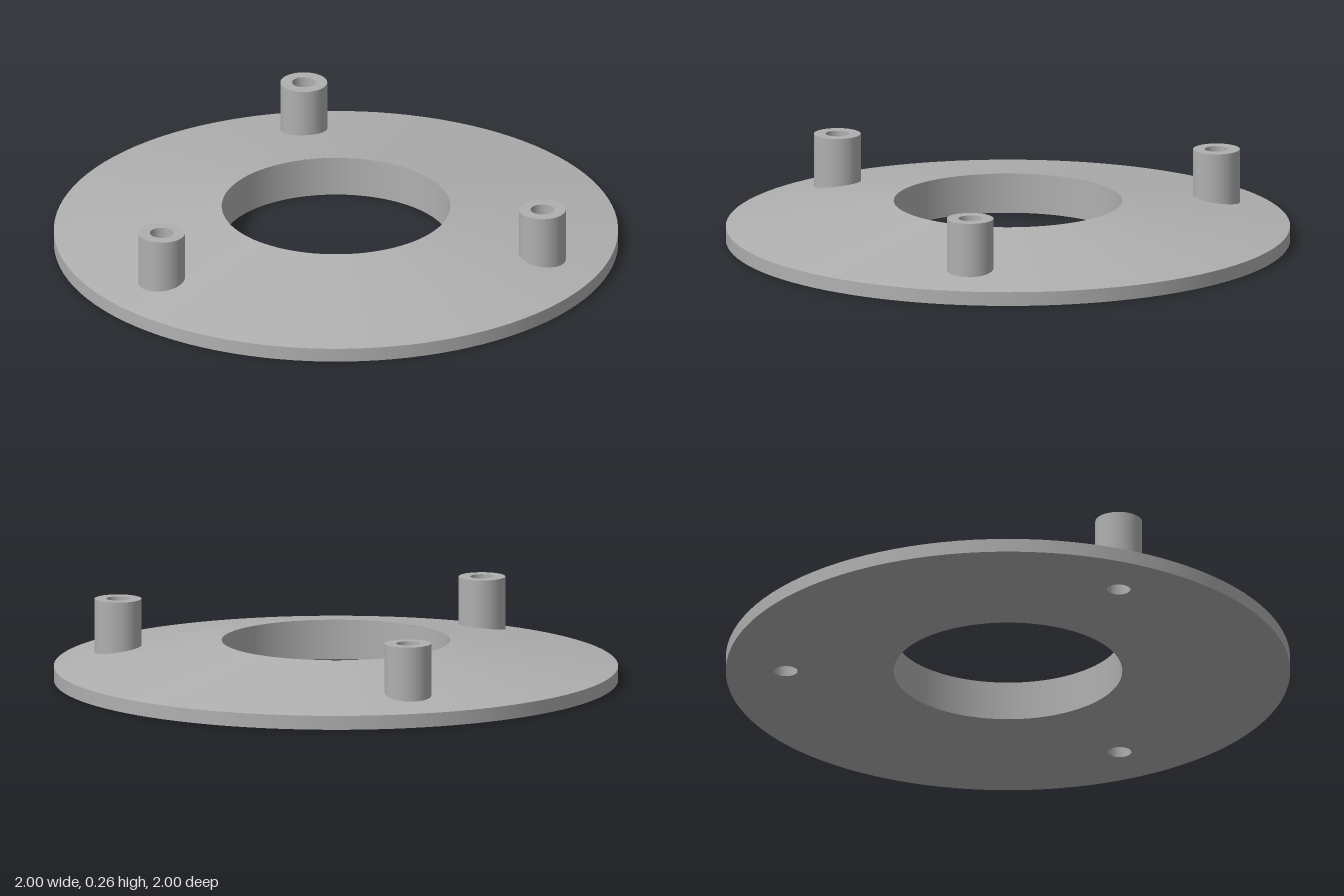
import * as THREE from 'three';
import { mergeGeometries } from 'three/addons/utils/BufferGeometryUtils.js';

const OUTER = 1, INNER = 0.405;            // plate radii
const RIM_Y = 0.05, TOP_Y = 0.143;         // plate heights at rim and bore
const POST_RING = 0.787, POST_R = 0.083, HOLE_R = 0.042, POST_TOP = 0.265;
const POST_ANGLES = [-Math.PI / 3, Math.PI / 3, Math.PI];
const HALF = Math.PI / 18;                 // half width of the wedge around each post

const coneY = (r) => RIM_Y + (TOP_Y - RIM_Y) * (OUTER - r) / (OUTER - INNER);

// Revolve each profile segment separately so the edges stay sharp
function revolve(profile, segments, start = 0, length = Math.PI * 2) {
  const parts = [];
  for (let i = 0; i < profile.length - 1; i++) {
    const pair = [profile[i], profile[i + 1]].map(([x, y]) => new THREE.Vector2(x, y));
    parts.push(new THREE.LatheGeometry(pair, segments, start, length));
  }
  return mergeGeometries(parts);
}

// Wedge of the cone with a round opening under a post
function piercedWedge() {
  const N = 48, STEPS = 5, opening = 0.06;
  const positions = [], index = [];
  for (let j = 0; j <= STEPS; j++) {
    for (let k = 0; k < N; k++) {
      const a = (k / N) * Math.PI * 2, c = Math.cos(a), s = Math.sin(a);
      const phi0 = Math.atan2(opening * c, POST_RING + opening * s);
      const r0 = Math.hypot(opening * c, POST_RING + opening * s);
      const m = Math.max(Math.abs(c), Math.abs(s)), u = c / m, v = s / m;
      const phi1 = u * HALF;
      const r1 = POST_RING + (v > 0 ? v * (OUTER - POST_RING) : v * (POST_RING - INNER));
      const phi = THREE.MathUtils.lerp(phi0, phi1, j / STEPS);
      const r = THREE.MathUtils.lerp(r0, r1, j / STEPS);
      positions.push(r * Math.sin(phi), coneY(r), r * Math.cos(phi));
      if (j < STEPS) {
        const p = j * N + k, q = j * N + (k + 1) % N;
        index.push(p, q + N, p + N, p, q, q + N);
      }
    }
  }
  const geometry = new THREE.BufferGeometry();
  geometry.setAttribute('position', new THREE.Float32BufferAttribute(positions, 3));
  geometry.setIndex(index);
  geometry.computeVertexNormals();
  return geometry;
}

// Flat underside with the central bore and the three post holes
function undersideGeometry() {
  const shape = new THREE.Shape().absarc(0, 0, OUTER, 0, Math.PI * 2, false);
  const addHole = (x, y, r) =>
    shape.holes.push(new THREE.Path().absarc(x, y, r, 0, Math.PI * 2, true));
  addHole(0, 0, INNER);
  POST_ANGLES.forEach((a) => addHole(POST_RING * Math.sin(a), POST_RING * Math.cos(a), HOLE_R));
  return new THREE.ShapeGeometry(shape, 108).rotateX(Math.PI / 2);
}

export function createModel() {
  const grey = new THREE.MeshStandardMaterial({ color: 0xb0b0b0 });
  grey.name = 'grey';
  const model = new THREE.Group();
  model.name = 'flangePlate';
  const add = (name, geometry) => {
    const mesh = new THREE.Mesh(geometry, grey);
    mesh.name = name;
    model.add(mesh);
    return mesh;
  };

  // Plate walls and underside
  add('outerRim', revolve([[OUTER, 0], [OUTER, RIM_Y]], 108));
  add('centralBore', revolve([[INNER, TOP_Y], [INNER, 0]], 108));
  add('underside', undersideGeometry());

  // Conical top: plain arcs between the posts, pierced wedges at the posts
  const wedge = piercedWedge();
  const postGeometry = revolve(
    [[POST_R, 0.055], [POST_R, POST_TOP], [HOLE_R, POST_TOP], [HOLE_R, 0]], 48);
  POST_ANGLES.forEach((angle) => {
    add('conicalTop', revolve([[OUTER, RIM_Y], [INNER, TOP_Y]], 30,
      angle + HALF, Math.PI * 2 / 3 - HALF * 2));
    add('conicalTopAtPost', wedge).rotation.y = angle;

    // Hollow standoff post, open through the plate
    add('post', postGeometry).position.set(
      POST_RING * Math.sin(angle), 0, POST_RING * Math.cos(angle));
  });

  return model;
}
